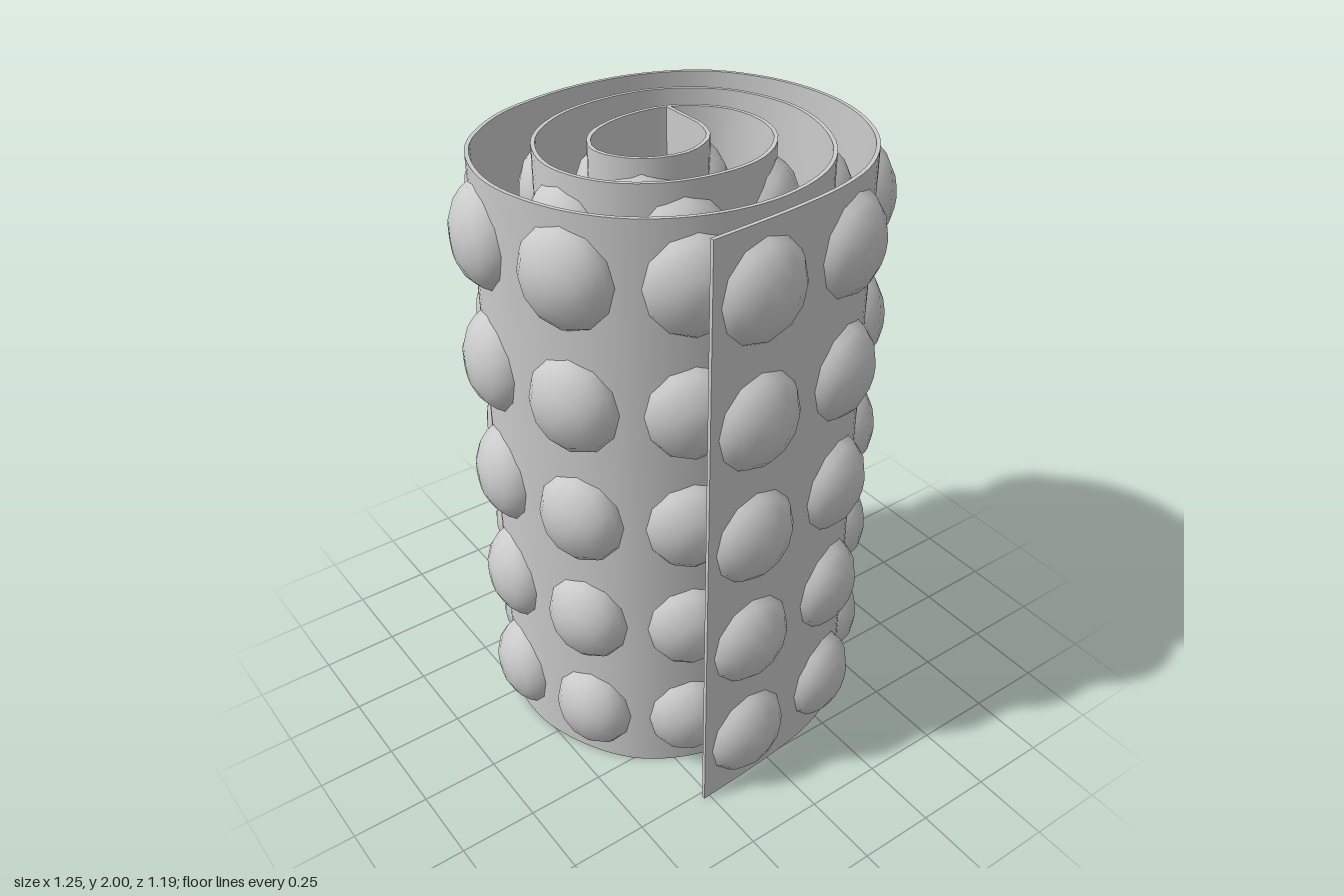
import * as THREE from 'three';
import { mergeVertices } from 'three/addons/utils/BufferGeometryUtils.js';

const HEIGHT = 2, THICKNESS = 0.012, COLUMNS = 22, ROWS = 5;

// Spiral path from the inner end outwards: x, z, and how far the foot leans inwards
const PATH = [
  [0.137, -0.23], [0.137, -0.15], [0.137, -0.065], [0.1, 0.02], [-0.015, 0.075],
  [-0.15, 0.03], [-0.217, -0.09], [-0.165, -0.19], [-0.03, -0.245], [0.137, -0.232],
  [0.26, -0.13], [0.295, 0], [0.255, 0.125], [0.14, 0.215], [0, 0.237],
  [-0.18, 0.195], [-0.315, 0.085], [-0.372, -0.08], [-0.315, -0.25], [-0.18, -0.355],
  [0, -0.392], [0.19, -0.36], [0.355, -0.235], [0.433, -0.03], [0.405, 0.15],
  [0.32, 0.3, 0.01], [0.19, 0.395, 0.03], [0, 0.44, 0.05], [-0.2, 0.41, 0.055],
  [-0.38, 0.305, 0.055], [-0.5, 0.14, 0.055], [-0.553, -0.09, 0.04], [-0.483, -0.317, 0.01],
  [-0.315, -0.458], [-0.15, -0.508], [0.02, -0.522], [0.22, -0.49], [0.405, -0.39],
  [0.523, -0.217], [0.567, -0.03], [0.55, 0.135], [0.473, 0.3], [0.34, 0.42],
  [0.188, 0.48], [0, 0.508], [-0.14, 0.518], [-0.272, 0.525],
];
const path = new THREE.CatmullRomCurve3(PATH.map(([x, z, lean = 0]) => new THREE.Vector3(x, lean, z)));
path.arcLengthDivisions = 2000;
const LENGTH = path.getLength();

// Wraps a flat geometry onto the spiral: x runs along it, y up, z out of the sheet
function wrap(geometry, s0, y0) {
  const pos = geometry.attributes.position;
  for (let i = 0; i < pos.count; i++) {
    const u = THREE.MathUtils.clamp((s0 - pos.getX(i)) / LENGTH, 0, 1);
    const y = y0 + pos.getY(i);
    const p = path.getPointAt(u);
    const t = path.getTangentAt(u).setY(0).normalize();
    const out = pos.getZ(i) - p.y * (1 - y / HEIGHT);
    pos.setXYZ(i, p.x + t.z * out, y, p.z - t.x * out);
  }
  geometry.computeVertexNormals();
  return geometry;
}

// Shallow dome, slightly taller than wide, rising along z
function domeGeometry() {
  const profile = [[0.148, -0.004], [0.132, 0.022], [0.105, 0.047], [0.06, 0.068], [0, 0.076]];
  const dome = new THREE.LatheGeometry(profile.map(([r, h]) => new THREE.Vector2(r, h)), 12);
  dome.rotateX(Math.PI / 2).scale(1, 1.06, 1);
  dome.deleteAttribute('uv');
  dome.deleteAttribute('normal');
  return mergeVertices(dome);
}

export function createModel() {
  const model = new THREE.Group();
  model.name = 'rolledBubbleSheet';
  const material = new THREE.MeshStandardMaterial({ color: 0xcccccc });

  // Rolled sheet
  const flat = new THREE.BoxGeometry(LENGTH, HEIGHT, THICKNESS, 200, 5, 1);
  flat.translate(0, 0, -THICKNESS / 2);
  const sheet = new THREE.Mesh(wrap(flat, LENGTH / 2, HEIGHT / 2), material);
  sheet.name = 'sheet';
  model.add(sheet);

  // Bubbles in even columns along the sheet
  const bubbles = new THREE.Group();
  bubbles.name = 'bubbles';
  const dome = domeGeometry();
  const first = 0.165, last = LENGTH - 0.175;
  for (let c = 0; c < COLUMNS; c++) {
    const s = THREE.MathUtils.lerp(first, last, c / (COLUMNS - 1));
    for (let r = 0; r < ROWS; r++) {
      const bubble = new THREE.Mesh(wrap(dome.clone(), s, 0.2 + 0.4 * r), material);
      bubble.name = 'bubble';
      bubbles.add(bubble);
    }
  }
  model.add(bubbles);
  return model;
}
